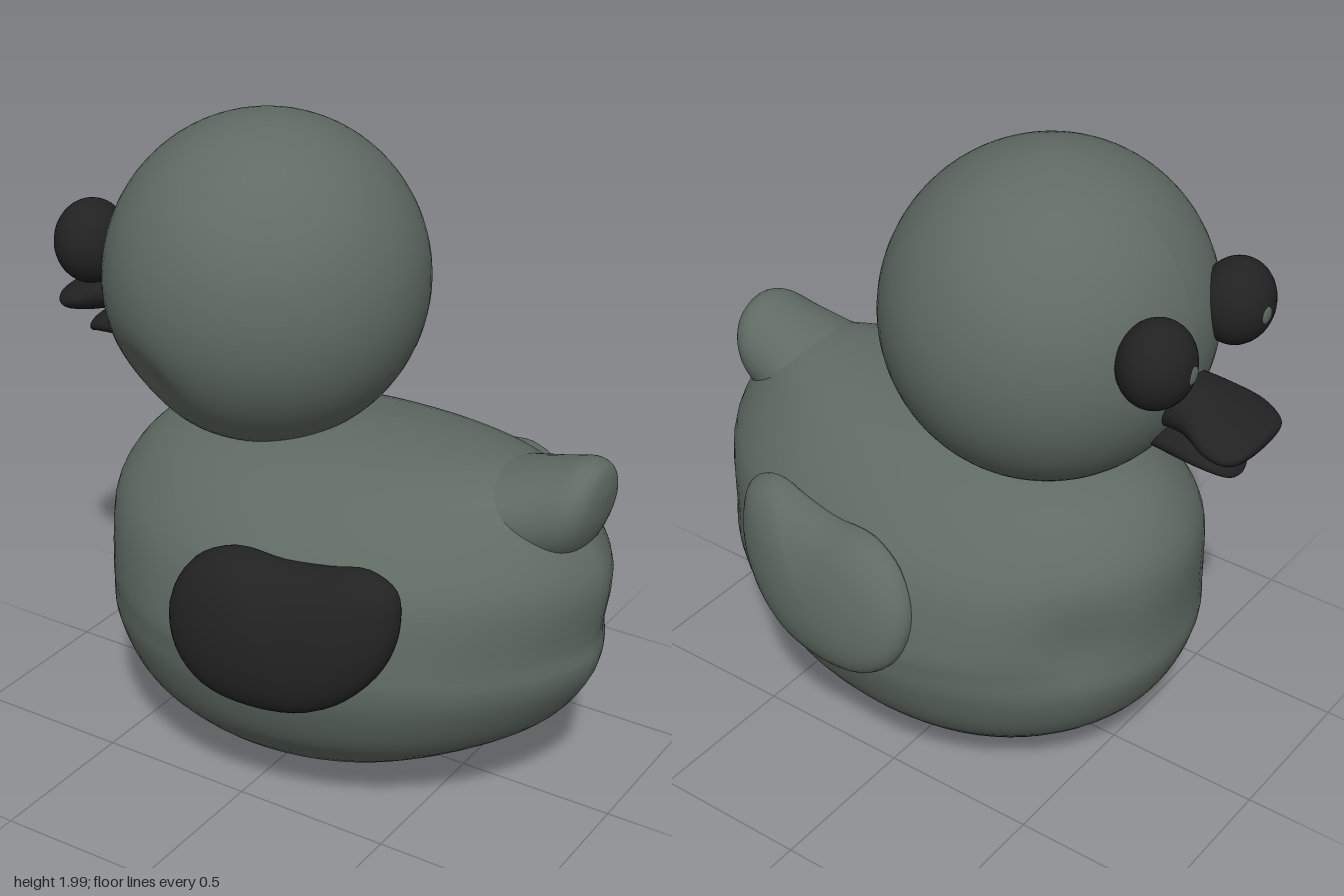
import * as THREE from 'three';

const N = 48;
const ringOf = (fn, n = N) => Array.from({ length: n }, (_, j) => fn((j / n) * Math.PI * 2));

// Smoothly interpolates rows of numbers
function spline(rows, steps) {
  const out = [];
  const last = rows.length - 1;
  for (let k = 0; k <= last * steps; k++) {
    const i = Math.min(Math.floor(k / steps), last - 1);
    const t = k / steps - i;
    const [a, b, c, d] = [i - 1, i, i + 1, i + 2].map((m) => rows[THREE.MathUtils.clamp(m, 0, last)]);
    out.push(b.map((v, q) => v + 0.5 * t * (c[q] - a[q] +
      t * (2 * a[q] - 5 * v + 4 * c[q] - d[q] + t * (3 * (v - c[q]) + d[q] - a[q])))));
  }
  return out;
}

// Skins closed rings of points
function loft(rings) {
  const n = rings[0].length;
  const index = [];
  for (let i = 0; i < rings.length - 1; i++) {
    for (let j = 0; j < n; j++) {
      const k = (j + 1) % n;
      const a = i * n + j, b = a + n, c = (i + 1) * n + k, d = i * n + k;
      index.push(a, b, c, a, c, d);
    }
  }
  const g = new THREE.BufferGeometry();
  g.setAttribute('position', new THREE.Float32BufferAttribute(rings.flat(2), 3));
  g.setIndex(index);
  g.computeVertexNormals();
  return g;
}

// Presses a soft hollow into a surface, towards a centre
function dent(g, at, centre, radius, depth) {
  const p = g.attributes.position;
  const v = new THREE.Vector3();
  for (let i = 0; i < p.count; i++) {
    v.fromBufferAttribute(p, i);
    const f = depth * Math.exp(-v.distanceToSquared(at) / (radius * radius));
    v.addScaledVector(centre.clone().sub(v).normalize(), f);
    p.setXYZ(i, v.x, v.y, v.z);
  }
  g.computeVertexNormals();
  return g;
}

// Elliptical loft along x; rows are x, y, half height, half width
function loftX(rows, dir) {
  return loft(spline(rows, 5).map(([x, y, h, w]) =>
    ringOf((a) => [x, y + Math.cos(a) * h, dir * -Math.sin(a) * w])));
}

export function createModel() {
  const group = new THREE.Group();
  const grey = new THREE.MeshStandardMaterial({ name: 'grey green', color: 0x606b64 });
  const black = new THREE.MeshStandardMaterial({ name: 'soft black', color: 0x222222 });
  const add = (name, geometry, material) => {
    const m = new THREE.Mesh(geometry, material);
    m.name = name;
    group.add(m);
    return m;
  };
  const V = (x, y, z) => new THREE.Vector3(x, y, z);

  // Body: y, front x, back x, half width
  const levels = [
    [0.005, 0.03, 0.07, 0], [0.025, -0.2, 0.27, 0.19], [0.1, -0.43, 0.5, 0.37],
    [0.2, -0.57, 0.68, 0.49], [0.3, -0.65, 0.81, 0.57], [0.43, -0.7, 0.9, 0.62],
    [0.52, -0.7, 0.93, 0.635], [0.6, -0.7, 0.925, 0.635], [0.78, -0.705, 0.95, 0.585],
    [0.9, -0.655, 0.91, 0.5], [1.0, -0.55, 0.85, 0.38], [1.06, -0.34, 0.8, 0.26],
    [1.095, -0.02, 0.7, 0.11], [1.1, 0.25, 0.4, 0],
  ];
  const body = loft(spline(levels, 3).map(([y, front, back, w]) => {
    const mid = front + 0.45 * (back - front);
    return ringOf((a) => {
      const c = Math.cos(a), s = Math.sin(a);
      const z = c > 0 ? Math.sign(s) * Math.abs(s) ** (1 + 0.25 * c) : s;
      return [mid + c * (c > 0 ? back - mid : mid - front), y, Math.max(w, 0) * z];
    }, 64);
  }));
  add('body', dent(body, V(-0.58, 0.62, -0.34), V(0, 0.6, 0), 0.12, 0.03), grey);

  // Upturned tail blending out of the back
  add('tail', loftX([
    [0.3, 0.93, 0.1, 0.26], [0.5, 0.94, 0.13, 0.24], [0.65, 0.96, 0.145, 0.21],
    [0.78, 0.985, 0.155, 0.18], [0.87, 1.02, 0.143, 0.155], [0.92, 1.055, 0.085, 0.1],
    [0.935, 1.07, 0, 0],
  ], 1), grey);

  // Head with a pressed cheek
  const centre = V(-0.22, 1.495, 0);
  const head = new THREE.SphereGeometry(0.503, 64, 48);
  head.scale(0.98, 1, 1).translate(centre.x, centre.y, centre.z);
  add('head', dent(head, V(-0.38, 1.25, 0.4), centre, 0.12, 0.035), grey);

  // Eyes with small glints
  for (const s of [1, -1]) {
    const side = s > 0 ? 'left' : 'right';
    const eye = add(side + 'Eye', new THREE.SphereGeometry(1, 32, 24), black);
    eye.scale.set(0.11, 0.13, 0.122);
    eye.position.set(-0.705, 1.58, 0.015 + s * 0.21);
    const glint = add(side + 'Glint', new THREE.SphereGeometry(1, 16, 12), grey);
    glint.scale.set(0.006, 0.027, 0.025);
    glint.position.set(-0.811, 1.575, 0.015 + s * 0.195);
  }

  // Bill
  add('upperBill', loftX([
    [-0.62, 1.36, 0.09, 0.1], [-0.74, 1.36, 0.075, 0.12], [-0.84, 1.33, 0.06, 0.16],
    [-0.91, 1.31, 0.045, 0.145], [-0.945, 1.317, 0.02, 0.09], [-0.952, 1.32, 0, 0],
  ], -1), black);
  add('lowerBill', loftX([
    [-0.62, 1.24, 0.045, 0.08], [-0.75, 1.24, 0.045, 0.1], [-0.83, 1.225, 0.035, 0.09],
    [-0.87, 1.2, 0.022, 0.05], [-0.885, 1.19, 0, 0],
  ], -1), black);

  // Bean-shaped wings, domed outwards over a leaning rim
  const outline = new THREE.CatmullRomCurve3([
    [0.55, 0.77], [0.53, 0.86], [0.44, 0.905], [0.32, 0.89], [0.18, 0.88], [0.02, 0.89],
    [-0.1, 0.83], [-0.16, 0.7], [-0.13, 0.56], [-0.03, 0.465], [0.14, 0.43], [0.32, 0.455],
    [0.45, 0.54], [0.53, 0.66],
  ].map(([x, y]) => V(x, y, 0)), true).getPoints(56).slice(0, -1);
  for (const s of [1, -1]) {
    const rings = [];
    for (let i = 0; i <= 24; i++) {
      const a = (i / 24) * Math.PI;
      const t = Math.sin(a), c = Math.cos(a);
      const bulge = Math.sign(c) * Math.abs(c) ** 0.9 * (c > 0 ? 0.13 : 0.06);
      rings.push(outline.map((p) => {
        const x = 0.19 + (p.x - 0.19) * t, y = 0.67 + (p.y - 0.67) * t;
        return [x, y, s * (0.58 - 0.13 * x - 0.17 * (y - 0.68) + bulge)];
      }));
    }
    if (s < 0) rings.reverse();
    add(s > 0 ? 'leftWing' : 'rightWing', loft(rings), s > 0 ? black : grey);
  }
  return group;
}
